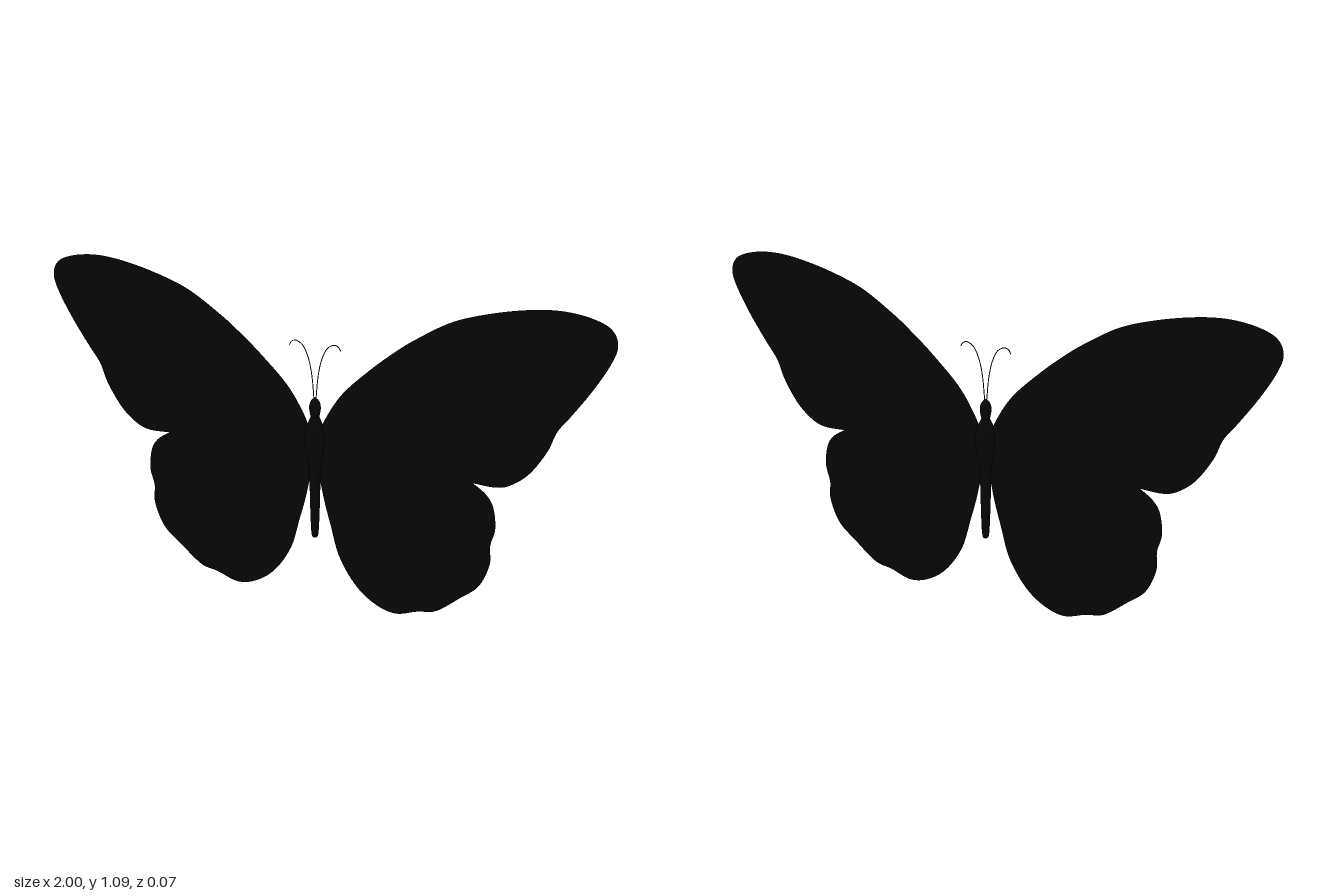
import * as THREE from 'three';

const vectors = (points) => points.map(([x, y]) => new THREE.Vector2(x, y));

// Outline of one left wing: a smooth outer edge, closed by straight lines along the root.
function wingGeometry(edge, root) {
  const shape = new THREE.Shape();
  shape.moveTo(...edge[0]);
  shape.splineThru(vectors(edge.slice(1)));
  root.forEach(([x, y]) => shape.lineTo(x, y));
  shape.closePath();
  return new THREE.ShapeGeometry(shape, 6);
}

export function createModel() {
  const model = new THREE.Group();
  model.name = 'butterfly';
  const black = new THREE.MeshStandardMaterial({ color: 0x050505 });
  const wingBlack = new THREE.MeshStandardMaterial({ color: 0x050505, side: THREE.DoubleSide });

  const add = (name, geometry, material, parent = model) => {
    const mesh = new THREE.Mesh(geometry, material);
    mesh.name = name;
    parent.add(mesh);
    return mesh;
  };

  // Body: abdomen, thorax and head, turned from smooth profiles that meet at the waist and neck
  const turned = (points) => new THREE.LatheGeometry(
    new THREE.SplineCurve(vectors(points)).getPoints(32), 32);
  add('abdomen', turned([[0, 0.218], [0.009, 0.222], [0.013, 0.25], [0.016, 0.33],
    [0.018, 0.41], [0.02, 0.455]]), black);
  add('thorax', turned([[0.02, 0.455], [0.027, 0.50], [0.034, 0.557], [0.029, 0.60],
    [0.014, 0.637]]), black);
  add('head', turned([[0.014, 0.637], [0.019, 0.667], [0.014, 0.69], [0, 0.704]]), black);

  // Wings: flat sheets, the fore wing and hind wing meeting along y = 0.5
  const foreWing = wingGeometry([
    [0.015, 0.58], [0.04, 0.64], [0.10, 0.73], [0.20, 0.825], [0.28, 0.89], [0.35, 0.94],
    [0.47, 1.01], [0.60, 1.053], [0.73, 1.08], [0.83, 1.087], [0.92, 1.075], [0.98, 1.048],
    [1.0, 1.0], [0.98, 0.94], [0.93, 0.855], [0.87, 0.77], [0.825, 0.71], [0.795, 0.64],
    [0.74, 0.56], [0.68, 0.513], [0.63, 0.498], [0.555, 0.50],
  ], [[0.015, 0.50]]);
  const hindWing = wingGeometry([
    [0.555, 0.50], [0.60, 0.47], [0.626, 0.43], [0.635, 0.36], [0.62, 0.30], [0.62, 0.235],
    [0.585, 0.155], [0.52, 0.10], [0.44, 0.04], [0.375, 0.025], [0.295, 0.002], [0.22, 0.022],
    [0.15, 0.075], [0.09, 0.165], [0.058, 0.27], [0.035, 0.35], [0.015, 0.44],
  ], [[0.015, 0.50]]);

  // Antenna: a hair-thin stalk curling outward at the tip
  const stalk = new THREE.CatmullRomCurve3([[0.003, 0.69], [0.012, 0.78], [0.025, 0.835],
    [0.045, 0.873], [0.07, 0.886], [0.085, 0.88], [0.092, 0.868]]
    .map(([x, y]) => new THREE.Vector3(x, y, 0)));
  const antenna = new THREE.TubeGeometry(stalk, 40, 0.0015, 6);

  // Both sides, mirrored across x = 0
  for (const [side, sign] of [['left', 1], ['right', -1]]) {
    const half = new THREE.Group();
    half.name = `${side}Side`;
    half.scale.x = sign;
    model.add(half);
    add(`${side}ForeWing`, foreWing, wingBlack, half);
    add(`${side}HindWing`, hindWing, wingBlack, half);
    add(`${side}Antenna`, antenna, black, half);
  }
  return model;
}
